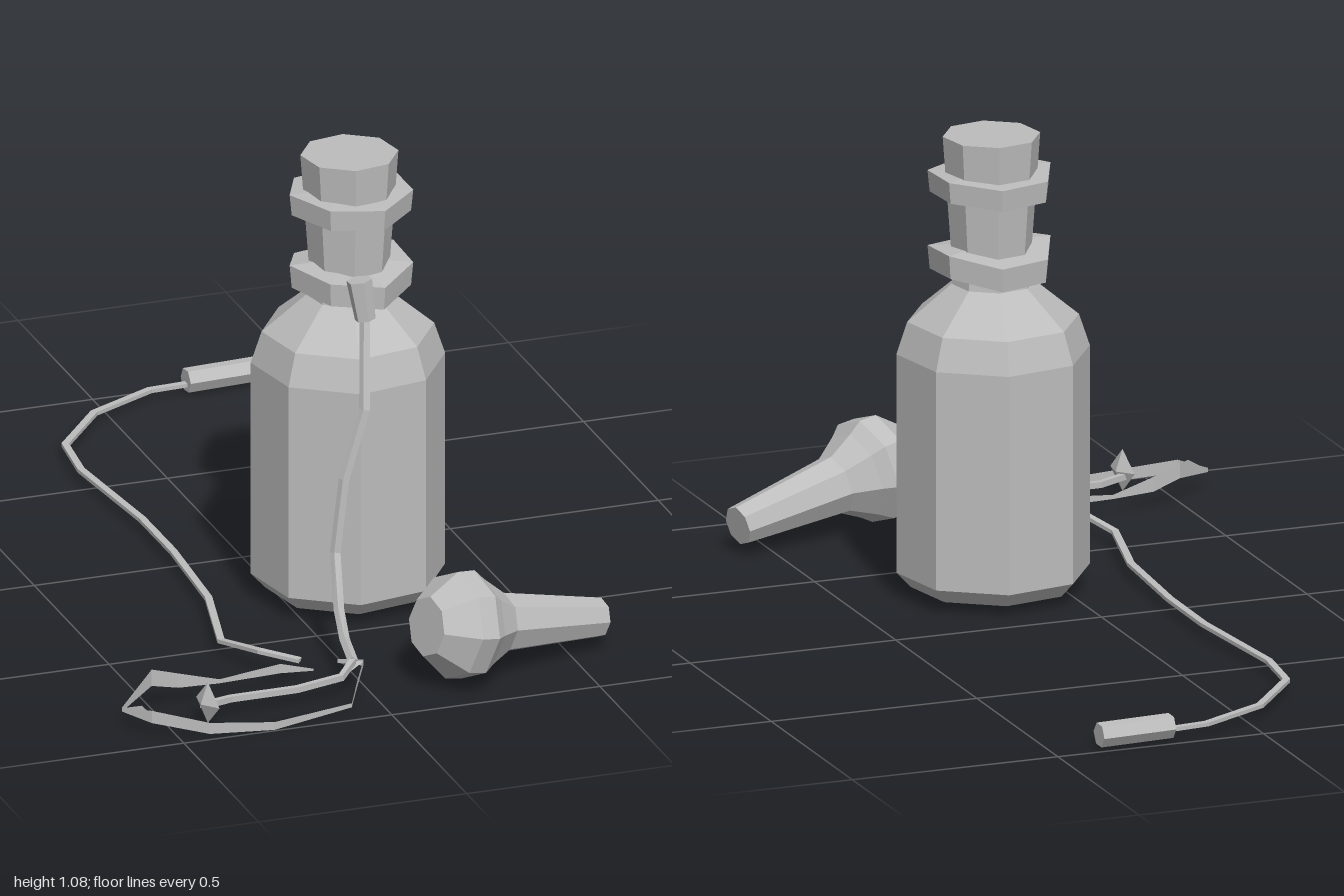
import * as THREE from 'three';

const V = (x, y, z) => new THREE.Vector3(x, y, z);

export function createModel() {
  const root = new THREE.Group();
  const grey = new THREE.MeshStandardMaterial({ color: 0xbdbdbd, flatShading: true, side: THREE.DoubleSide });
  grey.name = 'grey';

  const add = (name, geometry, parent = root) => {
    const flat = geometry.index ? geometry.toNonIndexed() : geometry;
    flat.computeVertexNormals();
    const mesh = new THREE.Mesh(flat, grey);
    mesh.name = name;
    parent.add(mesh);
    return mesh;
  };

  const lathe = (profile, sides, start = 0) =>
    new THREE.LatheGeometry(profile.map(([r, y]) => new THREE.Vector2(r, y)), sides, start);

  // Four-sided cord swept along a list of points, w wide and h thick
  const cord = (points, w, h, up = V(0, 1, 0)) => {
    const pos = [], index = [];
    points.forEach((p, i) => {
      const t = points[Math.min(i + 1, points.length - 1)].clone()
        .sub(points[Math.max(i - 1, 0)]).normalize();
      const s = up.clone().cross(t).normalize();
      const n = t.clone().cross(s);
      for (const [a, b] of [[1, 1], [-1, 1], [-1, -1], [1, -1]]) {
        const q = p.clone().addScaledVector(s, a * w / 2).addScaledVector(n, b * h / 2);
        pos.push(q.x, q.y, q.z);
      }
      if (i === 0) return;
      for (let j = 0; j < 4; j++) {
        const a = (i - 1) * 4 + j, b = (i - 1) * 4 + (j + 1) % 4;
        index.push(a, b, b + 4, a, b + 4, a + 4);
      }
    });
    const end = pos.length / 3 - 4;
    index.push(0, 2, 1, 0, 3, 2, end, end + 1, end + 2, end, end + 2, end + 3);
    const g = new THREE.BufferGeometry();
    g.setAttribute('position', new THREE.Float32BufferAttribute(pos, 3));
    g.setIndex(index);
    return g;
  };

  // Upright ribbon; each row is x, z, bottom y, top y
  const ribbon = (rows) => {
    const pos = [], index = [];
    rows.forEach(([x, z, low, high], i) => {
      pos.push(x, low, z, x, high, z);
      if (i) index.push(2 * i - 2, 2 * i, 2 * i + 1, 2 * i - 2, 2 * i + 1, 2 * i - 1);
    });
    const g = new THREE.BufferGeometry();
    g.setAttribute('position', new THREE.Float32BufferAttribute(pos, 3));
    g.setIndex(index);
    return g;
  };

  // Bottle with eight sides and a stopper
  const bottle = new THREE.Group();
  bottle.name = 'bottle';
  bottle.position.set(0.155, 0, 0.275);
  root.add(bottle);
  const turn = THREE.MathUtils.degToRad(33);
  add('bottleBody', lathe([
    [0, 0.025], [0.19, 0.025], [0.222, 0.06], [0.222, 0.575],
    [0.197, 0.65], [0.095, 0.735], [0.09, 0.77], [0, 0.77],
  ], 8, turn), bottle);
  const top = new THREE.Group();
  top.name = 'neck';
  top.position.z = 0.01;
  bottle.add(top);
  add('stopper', lathe([[0, 0.75], [0.088, 0.75], [0.112, 1.08], [0, 1.08]], 8, turn), top);

  // Twisted bands round the neck
  const band = (name, y, height, wave) => {
    const g = new THREE.CylinderGeometry(0.145, 0.14, height, 7, 1, false, 0.25);
    const p = g.attributes.position;
    for (let i = 0; i < p.count; i++) {
      const a = Math.atan2(p.getZ(i), p.getX(i));
      p.setY(i, p.getY(i) + wave * Math.cos(2 * a + 0.4));
    }
    add(name, g, top).position.y = y;
  };
  band('lowerBand', 0.785, 0.055, 0.014);
  band('upperBand', 0.967, 0.05, 0.006);

  // Knot and the cord hanging from it
  const knot = add('knot', new THREE.CylinderGeometry(0.03, 0.024, 0.095, 6));
  knot.position.set(0.132, 0.782, 0.435);
  knot.rotation.set(-0.1, 0, 0.12);
  const hanging = [
    V(0.14, 0.75, 0.43), V(0.105, 0.55, 0.525), V(0.045, 0.4, 0.555), V(0.015, 0.235, 0.58),
    V(-0.005, 0.13, 0.66), V(-0.02, 0.09, 0.74), V(-0.025, 0.065, 0.81),
  ];
  add('hangingCord', cord(hanging, 0.018, 0.016, V(0.3, 0.2, 0.9)));
  add('shaft', cord([
    V(-0.025, 0.065, 0.81), V(-0.07, 0.05, 0.858), V(-0.18, 0.04, 0.868),
    V(-0.34, 0.04, 0.87), V(-0.42, 0.045, 0.9),
  ], 0.014, 0.014));

  // Thin open loop on the ground
  add('loop', ribbon([
    [-0.1, 0.755, 0.03, 0.035], [-0.18, 0.755, 0.035, 0.058], [-0.33, 0.765, 0.035, 0.045],
    [-0.43, 0.77, 0.04, 0.075], [-0.5, 0.785, 0.06, 0.1], [-0.6, 0.865, 0.042, 0.052],
    [-0.55, 0.925, 0.03, 0.06], [-0.43, 0.98, 0.008, 0.035], [-0.28, 0.995, 0.003, 0.022],
    [-0.08, 0.955, 0.015, 0.025], [-0.04, 0.88, 0.03, 0.045], [0, 0.81, 0.05, 0.065],
    [-0.05, 0.775, 0.05, 0.06],
  ]));
  // Folded corners of the loop
  for (const [a, b, c] of [
    [V(-0.6, 0.048, 0.86), V(-0.54, 0.04, 0.93), V(-0.565, 0.065, 0.9)],
    [V(-0.025, 0.06, 0.79), V(0, 0.06, 0.81), V(-0.09, 0.04, 0.868)],
  ]) {
    const fold = new THREE.BufferGeometry().setFromPoints([a, b, c]);
    add('loopFold', fold);
  }
  const barb = add('barb', new THREE.OctahedronGeometry(0.04));
  barb.scale.set(0.5, 1.25, 1.1);
  barb.position.set(-0.41, 0.055, 0.91);
  barb.rotation.y = 0.3;

  // Long cord on the ground, ending in a plug
  const trail = [
    [-0.12, 0.72], [-0.195, 0.66], [-0.24, 0.525], [-0.18, 0.275], [-0.16, -0.015],
    [-0.16, -0.225], [-0.19, -0.55], [-0.172, -0.705], [-0.045, -0.865], [0.12, -0.953], [0.23, -0.962],
  ].map(([x, z], i) => V(x, i === 0 ? 0.045 : i === 1 ? 0.055 : 0.036 - i * 0.001, z));
  add('longCord', cord(trail, 0.017, 0.009));
  const plug = add('plug', new THREE.CylinderGeometry(0.029, 0.029, 0.18, 6));
  plug.position.set(0.3, 0.035, -0.968);
  plug.quaternion.setFromUnitVectors(V(0, 1, 0), V(0.18, 0, -0.012).normalize());

  // Loose tapered peg lying in front of the bottle
  const peg = add('peg', lathe([
    [0, 0], [0.07, 0], [0.125, 0.07], [0.127, 0.115], [0.105, 0.145],
    [0.07, 0.205], [0.046, 0.48], [0, 0.48],
  ], 8, 0.2));
  peg.position.set(0.125, 0.157, 0.885);
  peg.quaternion.setFromUnitVectors(V(0, 1, 0), V(0.46, -0.087, -0.12).normalize());

  return root;
}
